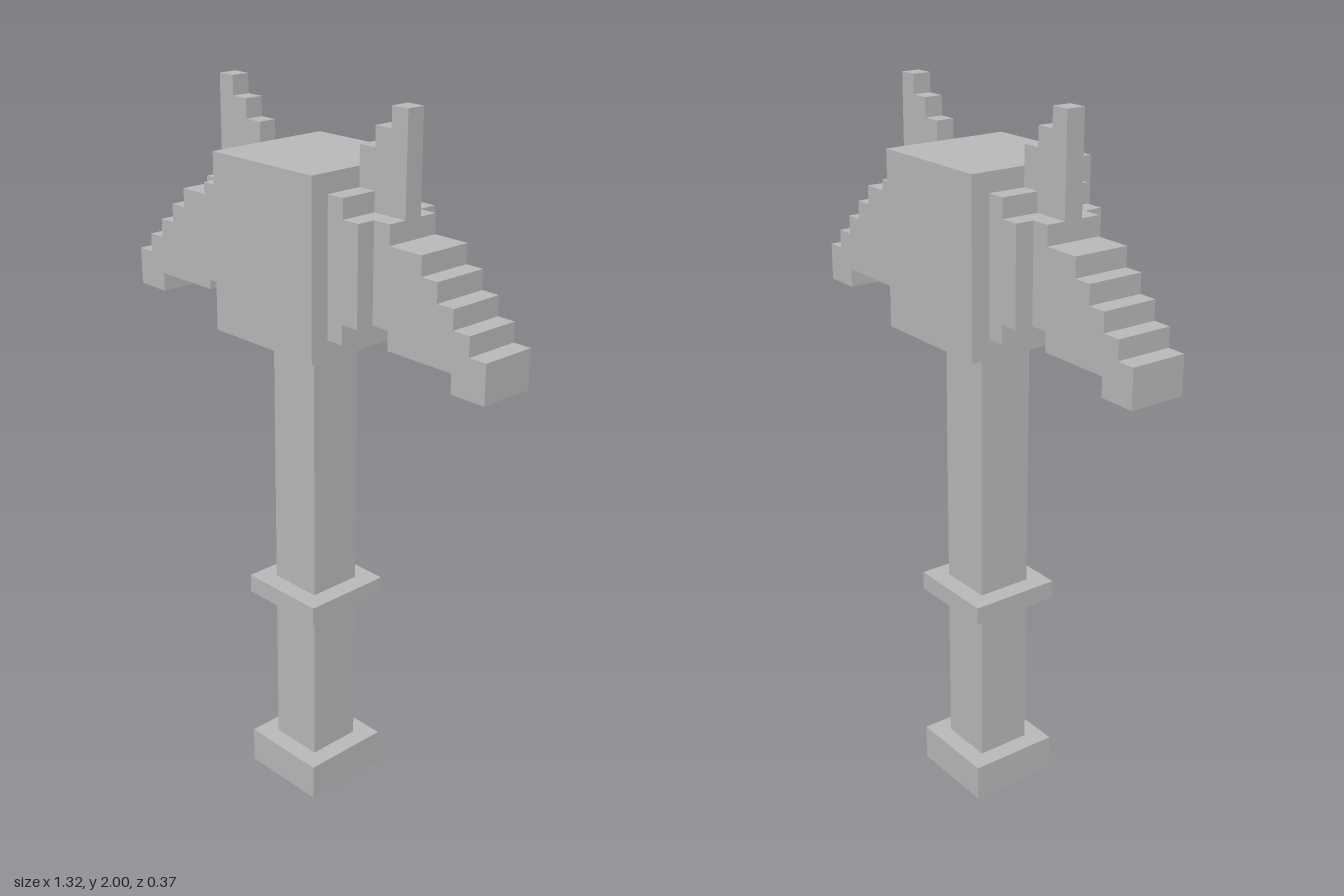
import * as THREE from 'three';

const U = 2 / 38; // one block

export function createModel() {
  const group = new THREE.Group();
  group.name = 'pickaxe';
  const grey = new THREE.MeshStandardMaterial({ color: 0xb8b8b8 });
  grey.name = 'plain grey';

  const add = (name, geometry) => {
    const mesh = new THREE.Mesh(geometry, grey);
    mesh.name = name;
    group.add(mesh);
    return mesh;
  };

  // Square block centred on the axis, sizes in blocks
  const block = (name, width, y0, y1) => {
    const g = new THREE.BoxGeometry(width * U, (y1 - y0) * U, width * U);
    add(name, g).position.y = ((y0 + y1) / 2) * U;
  };

  // Stepped plate from columns [x0, x1, bottom, top]; side = 1 or -1
  const stepped = (name, columns, depth, side) => {
    const top = columns.flatMap(([x0, x1, , t]) => [[x0, t], [x1, t]]);
    const bottom = columns.flatMap(([x0, x1, b]) => [[x0, b], [x1, b]]).reverse();
    const points = [...top, ...bottom]
      .filter((p, i, all) => i === 0 || p[0] !== all[i - 1][0] || p[1] !== all[i - 1][1])
      .map(([x, y]) => new THREE.Vector2(side * x * U, y * U));
    const g = new THREE.ExtrudeGeometry(new THREE.Shape(points), { depth: depth * U, bevelEnabled: false });
    g.translate(0, 0, (-depth / 2) * U);
    add(name, g);
  };

  // Handle
  block('pommel', 5, 0, 2);
  block('lowerHandle', 3, 2, 11);
  block('handleRing', 5, 11, 12);
  block('upperHandle', 3, 12, 26);

  // Head
  block('head', 7, 26, 35);

  // Collar, drooping blade and upright fin on each side
  for (const [label, side] of [['left', 1], ['right', -1]]) {
    stepped(label + 'Collar', [[3.5, 4.5, 27, 34], [4.5, 5.5, 28, 33]], 5, side);
    stepped(label + 'Blade', [
      [5.5, 6.5, 28, 33],
      [6.5, 8.5, 27, 32],
      [8.5, 9.5, 27, 31],
      [9.5, 10.5, 27, 30],
      [10.5, 11.5, 26, 29],
      [11.5, 12.5, 26, 28],
    ], 3, side);
    stepped(label + 'Fin', [[3.5, 4.5, 34, 36], [4.5, 5.5, 33, 37], [5.5, 6.5, 33, 38]], 1, side);
  }
  return group;
}
